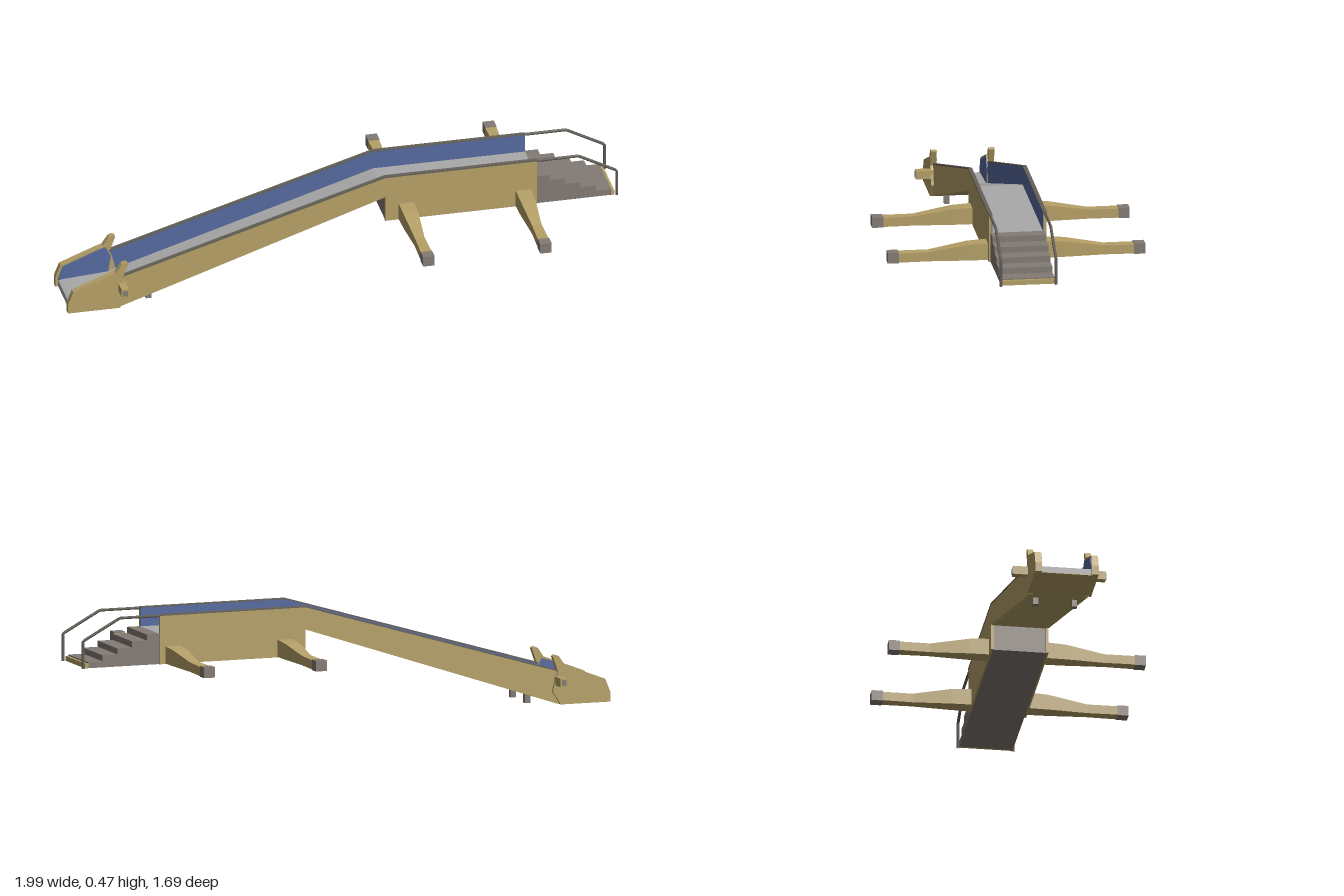
import * as THREE from 'three';

const mat = (name, color) => {
  const m = new THREE.MeshStandardMaterial({ color });
  m.name = name;
  return m;
};

export function createModel() {
  const tan = mat('tan paint', 0xb5a067);
  const blue = mat('blue lining', 0x566a9f);
  const floorGrey = mat('floor grey', 0xa9a9a9);
  const stepGrey = mat('step grey', 0x837b74);
  const railGrey = mat('rail grey', 0x66615a);

  const model = new THREE.Group();
  model.name = 'boardingRamp';
  // Working frame: x runs up the ramp, z across it
  const ramp = new THREE.Group();
  ramp.name = 'ramp';
  ramp.rotation.y = Math.atan2(0.6, 0.8);
  ramp.position.set(0.021, 0, 0.028);
  model.add(ramp);

  const add = (name, geo, m) => {
    const mesh = new THREE.Mesh(geo, m);
    mesh.name = name;
    ramp.add(mesh);
    return mesh;
  };
  // Side profile (x, y) extruded across, centred on z
  const slab = (name, pts, z, depth, m) => {
    const shape = new THREE.Shape(pts.map(([x, y]) => new THREE.Vector2(x, y)));
    const geo = new THREE.ExtrudeGeometry(shape, { depth, bevelEnabled: false });
    return add(name, geo.translate(0, 0, z - depth / 2), m);
  };
  const box = (name, x0, x1, y0, y1, z, depth, m) => {
    const geo = new THREE.BoxGeometry(x1 - x0, y1 - y0, depth);
    return add(name, geo.translate((x0 + x1) / 2, (y0 + y1) / 2, z), m);
  };

  // Walking surface, belly and front foot
  slab('floor', [[-1.165, 0.004], [-0.96, 0.01], [0.16, 0.378], [0.79, 0.378],
    [0.79, 0.387], [0.154, 0.387], [-0.96, 0.045], [-1.15, 0.032], [-1.165, 0.028]], 0, 0.214, floorGrey);
  slab('belly', [[-0.955, 0], [0.154, 0.37], [0.154, 0.376], [-0.975, 0.004]], 0, 0.216, tan);
  box('frontFoot', -1.165, -0.955, 0, 0.004, 0, 0.216, tan);

  // Platform core
  box('platformCore', 0.156, 0.79, 0.261, 0.38, 0, 0.222, stepGrey);

  // Stairs
  for (let i = 0; i < 5; i++) {
    box('step', 0.79, 0.845 + i * 0.0645, 0.262, 0.387 - i * 0.025, 0, 0.222 - i * 0.0004, stepGrey);
  }
  box('bottomRiser', 1.1, 1.115, 0.262, 0.282, 0, 0.222, tan);

  for (const s of [-1, 1]) {
    // Balustrade with blue lining and a top cap
    slab('sidePanel', [[-0.955, 0], [0.154, 0.372], [0.154, 0.262], [0.79, 0.262],
      [0.79, 0.463], [0.154, 0.463], [-0.97, 0.13]], s * 0.113, 0.012, tan);
    slab('sideLining', [[-0.96, 0.03], [0.154, 0.38], [0.79, 0.38],
      [0.79, 0.463], [0.154, 0.463], [-0.97, 0.13]], s * 0.1055, 0.003, blue);
    slab('topCap', [[-0.97, 0.13], [0.154, 0.462], [0.79, 0.462],
      [0.79, 0.468], [0.154, 0.468], [-0.97, 0.136]], s * 0.1125, 0.016, railGrey);

    // Front housing with blue inner face
    slab('frontHousing', [[-1.177, 0], [-0.96, 0], [-0.925, 0.055], [-0.94, 0.115],
      [-0.965, 0.166], [-1.0, 0.155], [-1.155, 0.095], [-1.177, 0.04]], s * 0.117, 0.028, tan);
    slab('housingLining', [[-1.165, 0.02], [-0.96, 0.02], [-0.945, 0.115],
      [-0.967, 0.158], [-1.0, 0.148], [-1.147, 0.09], [-1.165, 0.04]], s * 0.102, 0.003, blue);
    slab('housingFin', [[-0.985, 0.15], [-0.95, 0.13], [-0.925, 0.2], [-0.935, 0.206], [-0.952, 0.2]],
      s * 0.119, 0.024, tan);

    // Side grip
    box('sideGrip', -0.966, -0.936, 0.08, 0.116, s * 0.157, 0.068, tan);
    box('gripEnd', -0.961, -0.941, 0.086, 0.11, s * 0.192, 0.005, stepGrey);

    // Ramp leg
    box('rampLeg', -0.842, -0.818, 0.008, 0.08, s * 0.08, 0.022, stepGrey);

    // Stair handrail
    const path = new THREE.CurvePath();
    const pts = [[0.78, 0.462], [0.964, 0.462], [1.125, 0.375], [1.125, 0.262]]
      .map(([x, y]) => new THREE.Vector3(x, y, s * 0.113));
    for (let i = 0; i < 3; i++) path.add(new THREE.LineCurve3(pts[i], pts[i + 1]));
    add('handrail', new THREE.TubeGeometry(path, 48, 0.006, 6), railGrey);

    // Outriggers: half width and top height follow the distance from the body
    for (const x of [0.243, 0.733]) {
      const stations = [[0.11, 0.033, 0.335], [0.2, 0.031, 0.33], [0.36, 0.02, 0.303], [0.485, 0.023, 0.302]];
      const geo = new THREE.BoxGeometry(1, 1, 1, 1, 1, 3).toNonIndexed();
      const p = geo.attributes.position;
      for (let i = 0; i < p.count; i++) {
        const k = Math.round((s * p.getZ(i) + 0.5) * 3);
        const [z, w, top] = stations[k];
        p.setXYZ(i, x + Math.sign(p.getX(i)) * w, p.getY(i) > 0 ? top : 0.264, s * z);
      }
      geo.computeVertexNormals();
      add('outriggerArm', geo, tan);
      box('outriggerPad', x - 0.024, x + 0.024, 0.262, 0.306, s * 0.507, 0.046, stepGrey);
    }
  }
  return model;
}
